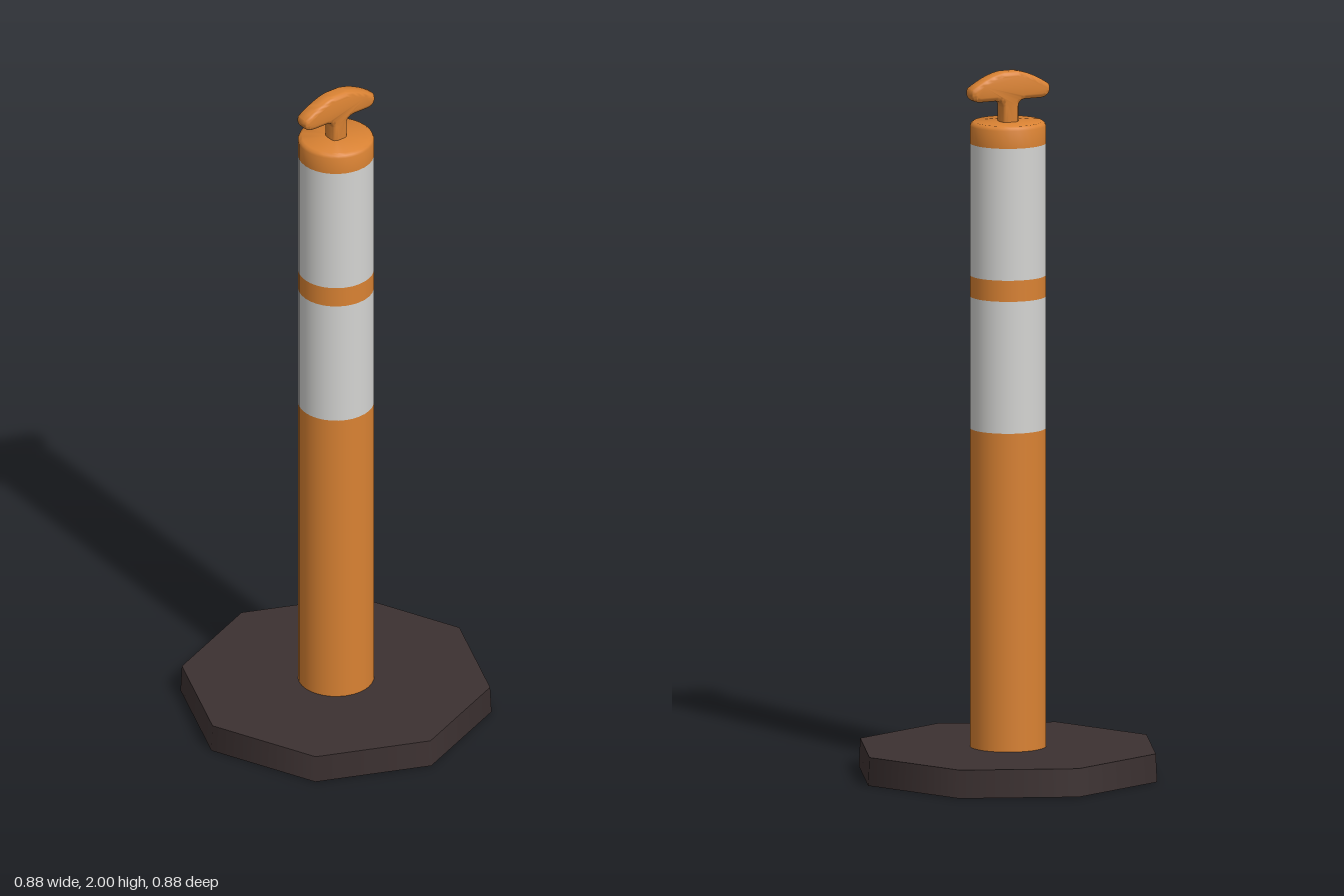
import * as THREE from 'three';
import { toCreasedNormals } from 'three/addons/utils/BufferGeometryUtils.js';

export function createModel() {
  const model = new THREE.Group();
  model.name = 'bollard';

  const material = (name, color) => {
    const m = new THREE.MeshStandardMaterial({ color });
    m.name = name;
    return m;
  };
  const orange = material('orange', 0xd98233);
  const white = material('reflectiveWhite', 0xd4d4d2);
  const rubber = material('blackRubber', 0x3c3131);

  const add = (name, geometry, mat, y = 0) => {
    const mesh = new THREE.Mesh(geometry, mat);
    mesh.name = name;
    mesh.position.y = y;
    model.add(mesh);
    return mesh;
  };

  // Octagonal foot with corners on the axes
  add('base', new THREE.CylinderGeometry(0.436, 0.44, 0.08, 8), rubber, 0.04);

  // Post, split into coloured bands
  const R = 0.107;
  const bands = [
    ['lowerPost', 0.08, 0.985, orange],
    ['lowerReflectiveBand', 0.985, 1.36, white],
    ['middlePost', 1.36, 1.42, orange],
    ['upperReflectiveBand', 1.42, 1.795, white],
  ];
  for (const [name, y0, y1, mat] of bands) {
    add(name, new THREE.CylinderGeometry(R, R, y1 - y0, 32, 1, true), mat, (y0 + y1) / 2);
  }

  // Cap with a small rounded rim
  const capProfile = [[R, 1.795], [R, 1.845], [0.104, 1.852], [0.097, 1.857], [0, 1.857]]
    .map(([x, y]) => new THREE.Vector2(x, y));
  add('cap', toCreasedNormals(new THREE.LatheGeometry(capProfile, 32), 0.75), orange);

  // Curved T handle, running front to back; the bevel grows the outline by b
  const b = 0.014;
  const s = new THREE.Shape();
  s.moveTo(-0.011, 1.84);
  s.lineTo(0.011, 1.84);
  s.lineTo(0.011, 1.9);
  s.quadraticCurveTo(0.013, 1.929, 0.045, 1.932);
  s.lineTo(0.095, 1.932);
  s.quadraticCurveTo(0.113, 1.934, 0.109, 1.948);
  s.quadraticCurveTo(0.06, 1.98, 0.02, 1.986);
  s.lineTo(-0.02, 1.986);
  s.quadraticCurveTo(-0.06, 1.98, -0.109, 1.948);
  s.quadraticCurveTo(-0.113, 1.934, -0.095, 1.932);
  s.lineTo(-0.045, 1.932);
  s.quadraticCurveTo(-0.013, 1.929, -0.011, 1.9);
  const depth = 0.022;
  const handle = new THREE.ExtrudeGeometry(s, {
    depth, bevelEnabled: true, bevelSize: b, bevelThickness: b, bevelSegments: 4, curveSegments: 8,
  });
  handle.translate(0, 0, -depth / 2);
  handle.rotateY(-Math.PI / 2);
  add('handle', toCreasedNormals(handle, 0.9), orange);

  return model;
}
